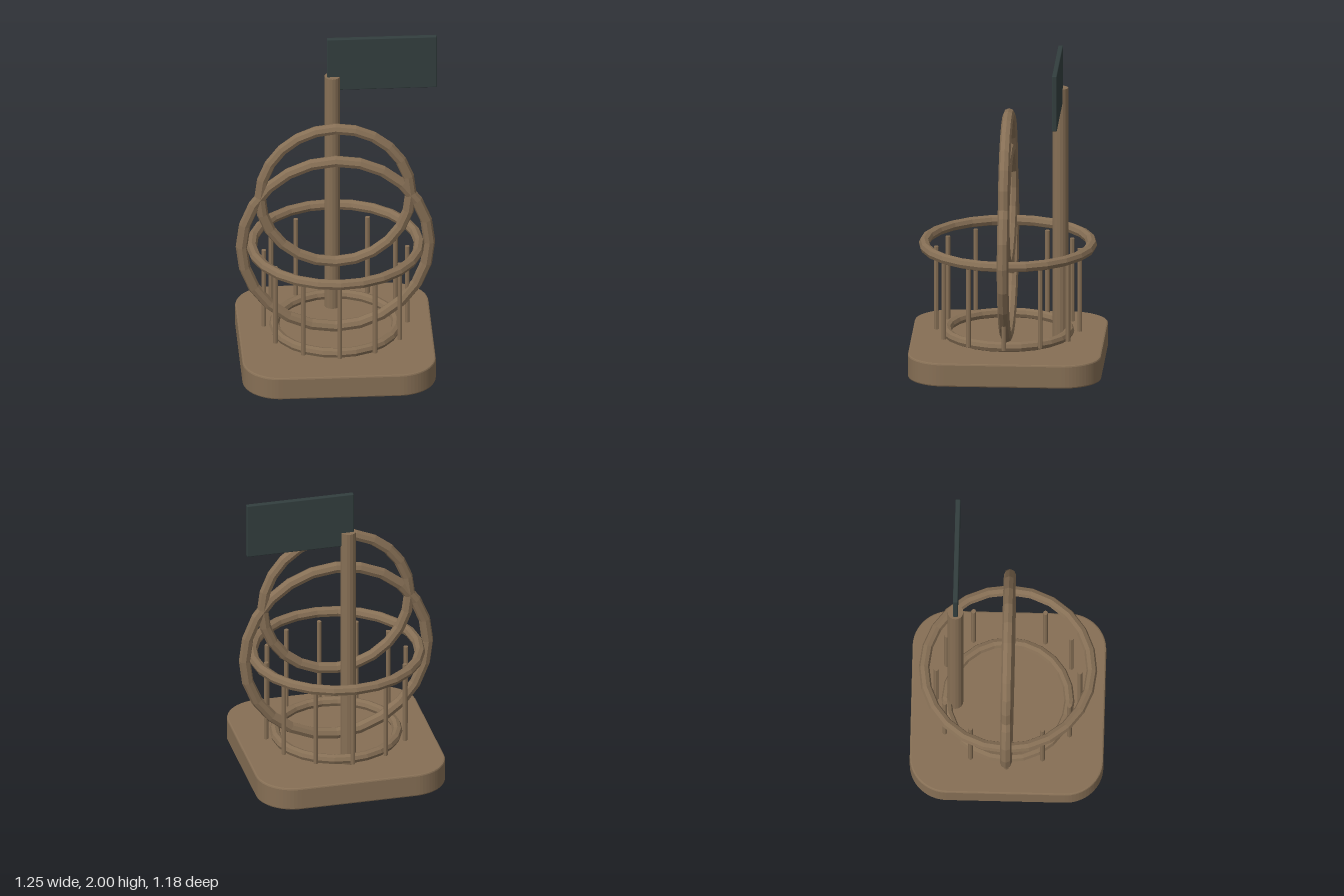
import * as THREE from 'three';
import { RoundedBoxGeometry } from 'three/addons/geometries/RoundedBoxGeometry.js';

export function createModel() {
  const bronze = new THREE.MeshStandardMaterial({ color: 0x87705a, flatShading: true });
  bronze.name = 'bronze';
  bronze.color.set(0x866f55);
  const bronzeSmooth = bronze; // one shared colour for every metal part
  const slate = new THREE.MeshStandardMaterial({ color: 0x323e3e });
  slate.name = 'slate';

  const model = new THREE.Group();
  model.name = 'ringSculpture';
  const CX = -0.013; // axis of the base, rings and bars

  function add(parent, name, geometry, material, x, y, z) {
    const mesh = new THREE.Mesh(geometry, material);
    mesh.name = name;
    mesh.position.set(x, y, z);
    parent.add(mesh);
    return mesh;
  }

  // Base slab: rounded square with a slight edge bevel
  const half = 0.58, r = 0.22, bevel = 0.01, height = 0.147;
  const outline = new THREE.Shape();
  [[1, 1, 0], [-1, 1, 0.5], [-1, -1, 1], [1, -1, 1.5]].forEach(([sx, sy, turn]) =>
    outline.absarc(sx * (half - r), sy * (half - r), r, turn * Math.PI, (turn + 0.5) * Math.PI, false));
  const slab = new THREE.ExtrudeGeometry(outline, {
    depth: height - 2 * bevel, bevelEnabled: true, bevelThickness: bevel,
    bevelSize: bevel, bevelSegments: 2, curveSegments: 8,
  });
  slab.rotateX(-Math.PI / 2);
  add(model, 'base', slab, bronzeSmooth, CX, bevel, 0);

  // Upright and level rings
  const rings = [
    ['upperUprightRing', 0.46, 0.035, 1.088, false],
    ['lowerUprightRing', 0.573, 0.036, 0.75, false],
    ['cageTopRing', 0.511, 0.033, 0.744, true],
    ['cageBottomRing', 0.374, 0.031, 0.196, true],
  ];
  for (const [name, radius, tube, y, level] of rings) {
    const ring = add(model, name, new THREE.TorusGeometry(radius, tube, 8, 24), bronze, CX, y, 0);
    if (level) ring.rotation.x = Math.PI / 2;
  }

  // Twelve cage bars
  const bars = new THREE.Group();
  bars.name = 'cageBars';
  model.add(bars);
  const barGeometry = new THREE.CylinderGeometry(0.0145, 0.0145, 0.525, 8);
  for (let i = 0; i < 12; i++) {
    const a = (i / 12) * Math.PI * 2;
    add(bars, 'cageBar', barGeometry, bronze, CX + 0.438 * Math.cos(a), 0.4575, 0.438 * Math.sin(a));
  }

  // Flagpole and flag
  add(model, 'pole', new THREE.CylinderGeometry(0.048, 0.048, 1.6, 16), bronzeSmooth, CX, 0.94, -0.32);
  add(model, 'flag', new RoundedBoxGeometry(0.67, 0.352, 0.03, 2, 0.006), slate, 0.29, 1.824, -0.32);

  return model;
}
